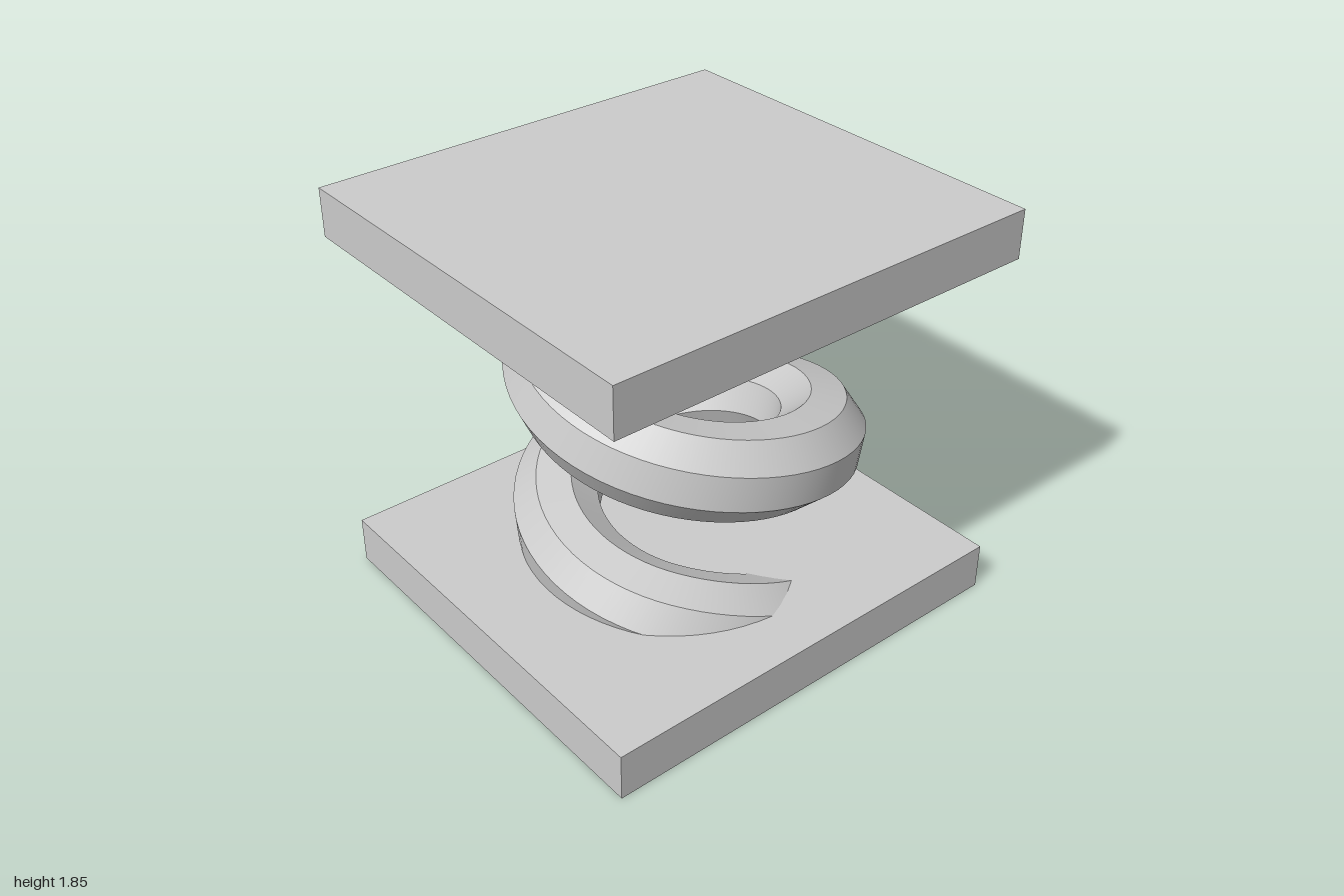
import * as THREE from 'three';
import { toCreasedNormals } from 'three/addons/utils/BufferGeometryUtils.js';

const DEG = Math.PI / 180;
const COIL_X = 0.107, COIL_R = 0.57, WIRE_R = 0.2, PITCH = 0.75;
const SIDES = 8, STEPS = 160, START = -300, END = 475;

// Centre line of the wire: a helix whose two ends bend into the plates
function coilPoint(deg) {
  const a = deg * DEG;
  const rise = 0.25 * (Math.max(0, deg - 380) / 80) ** 2;
  const dip = 0.06 * (Math.max(0, -220 - deg) / 55) ** 2;
  return new THREE.Vector3(
    COIL_X + COIL_R * Math.cos(a),
    0.65 + PITCH * deg / 360 + rise - dip,
    COIL_R * Math.sin(a));
}

// Octagonal wire swept along the helix, slowly twisting as it climbs
function coilGeometry() {
  const positions = [], index = [];
  for (let i = 0; i <= STEPS; i++) {
    const deg = START + (END - START) * i / STEPS;
    const p = coilPoint(deg);
    const tangent = coilPoint(deg + 0.5).sub(coilPoint(deg - 0.5)).normalize();
    const out = new THREE.Vector3(Math.cos(deg * DEG), 0, Math.sin(deg * DEG));
    const up = new THREE.Vector3().crossVectors(tangent, out).normalize();
    const twist = (4 + 18.4 * deg / 90) * DEG;
    for (let j = 0; j < SIDES; j++) {
      const phi = twist + j * 2 * Math.PI / SIDES;
      const v = p.clone()
        .addScaledVector(out, WIRE_R * Math.cos(phi))
        .addScaledVector(up, WIRE_R * Math.sin(phi));
      // keep the buried ends inside the plates
      positions.push(v.x, THREE.MathUtils.clamp(v.y, 0.02, 1.83), v.z);
      if (i < STEPS) {
        const a = i * SIDES + j, b = i * SIDES + (j + 1) % SIDES;
        index.push(a, b, a + SIDES, b, b + SIDES, a + SIDES);
      }
    }
  }
  const geometry = new THREE.BufferGeometry();
  geometry.setAttribute('position', new THREE.Float32BufferAttribute(positions, 3));
  geometry.setIndex(index);
  return toCreasedNormals(geometry, 35 * DEG);
}

export function createModel() {
  const group = new THREE.Group();
  group.name = 'springBetweenPlates';
  const material = new THREE.MeshStandardMaterial({ color: 0xcccccc });

  // Bottom and top plates
  const plate = new THREE.BoxGeometry(2, 0.215, 1.89);
  for (const [name, y] of [['bottomPlate', 0.1075], ['topPlate', 1.7425]]) {
    const mesh = new THREE.Mesh(plate, material);
    mesh.name = name;
    mesh.position.y = y;
    group.add(mesh);
  }

  // Coil spring
  const coil = new THREE.Mesh(coilGeometry(), material);
  coil.name = 'coilSpring';
  group.add(coil);
  return group;
}
